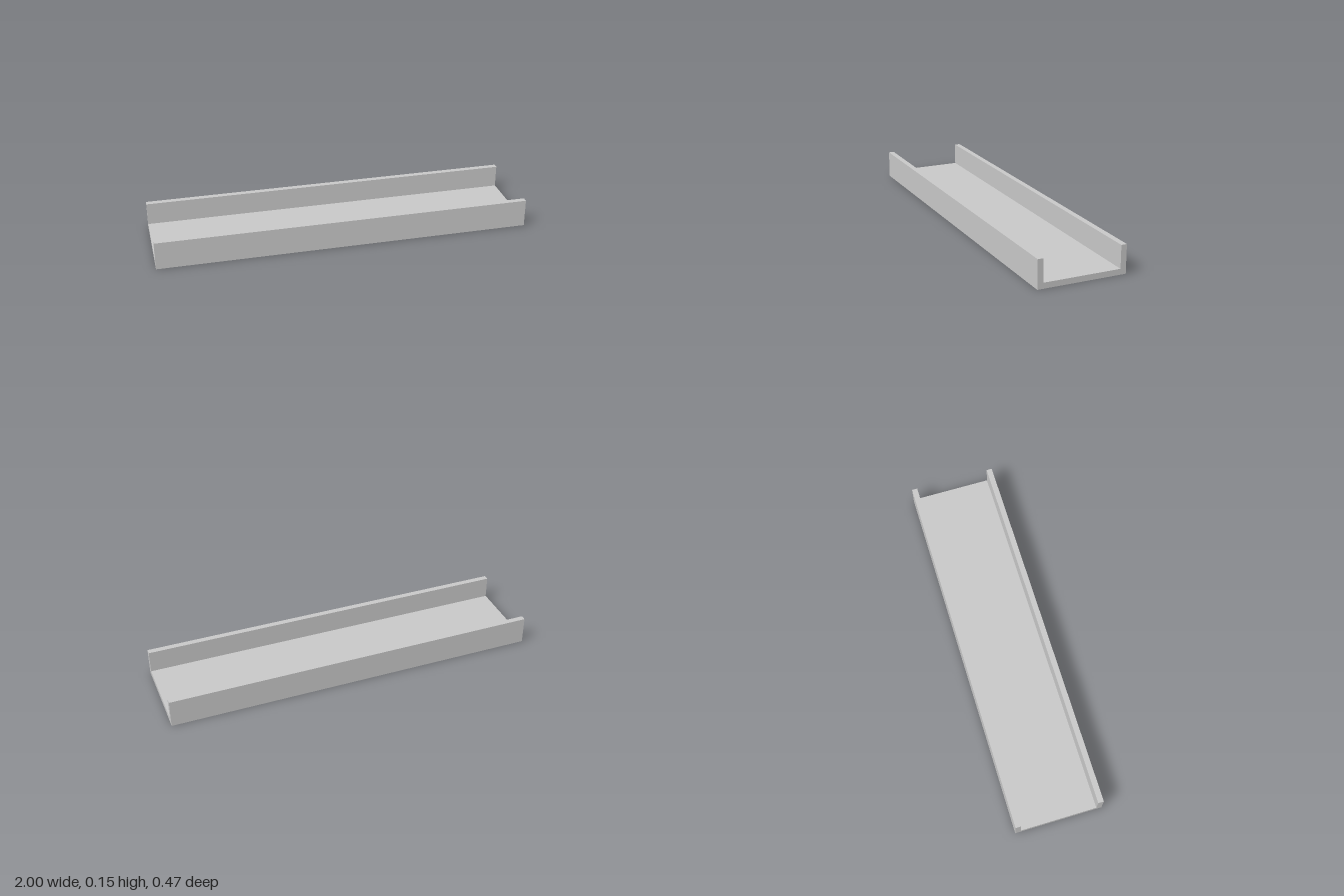
import * as THREE from 'three';

const LENGTH = 2, WIDTH = 0.47, HEIGHT = 0.15, WALL = 0.03;
const HOLE_DEPTH = 0.024, HOLE_RADIUS = 0.016, HOLE_X = 0.92, HOLE_Z = 0.104;

export function createModel() {
  const model = new THREE.Group();
  model.name = 'channel';
  const grey = new THREE.MeshStandardMaterial({ color: 0xc8c8c8 });
  grey.name = 'lightGrey';

  // Underside layer of the floor, pierced by four mounting holes
  const base = new THREE.Shape([
    new THREE.Vector2(-LENGTH / 2, -WIDTH / 2), new THREE.Vector2(LENGTH / 2, -WIDTH / 2),
    new THREE.Vector2(LENGTH / 2, WIDTH / 2), new THREE.Vector2(-LENGTH / 2, WIDTH / 2),
  ]);
  for (const sx of [-1, 1]) {
    for (const sz of [-1, 1]) {
      base.holes.push(new THREE.Path().absarc(sx * HOLE_X, sz * HOLE_Z, HOLE_RADIUS, 0, Math.PI * 2, true));
    }
  }
  const baseGeometry = new THREE.ExtrudeGeometry(base, { depth: HOLE_DEPTH, bevelEnabled: false, curveSegments: 16 });
  baseGeometry.rotateX(-Math.PI / 2);
  const drilledBase = new THREE.Mesh(baseGeometry, grey);
  drilledBase.name = 'drilledBase';
  model.add(drilledBase);

  // U-shaped section closing the blind holes and forming both side walls
  const w = WIDTH / 2, i = w - WALL;
  const section = new THREE.Shape([
    [-w, HOLE_DEPTH], [w, HOLE_DEPTH], [w, HEIGHT], [i, HEIGHT],
    [i, WALL], [-i, WALL], [-i, HEIGHT], [-w, HEIGHT],
  ].map(([x, y]) => new THREE.Vector2(x, y)));
  const trayGeometry = new THREE.ExtrudeGeometry(section, { depth: LENGTH, bevelEnabled: false });
  trayGeometry.translate(0, 0, -LENGTH / 2).rotateY(Math.PI / 2);
  const tray = new THREE.Mesh(trayGeometry, grey);
  tray.name = 'floorAndSideWalls';
  model.add(tray);

  return model;
}
